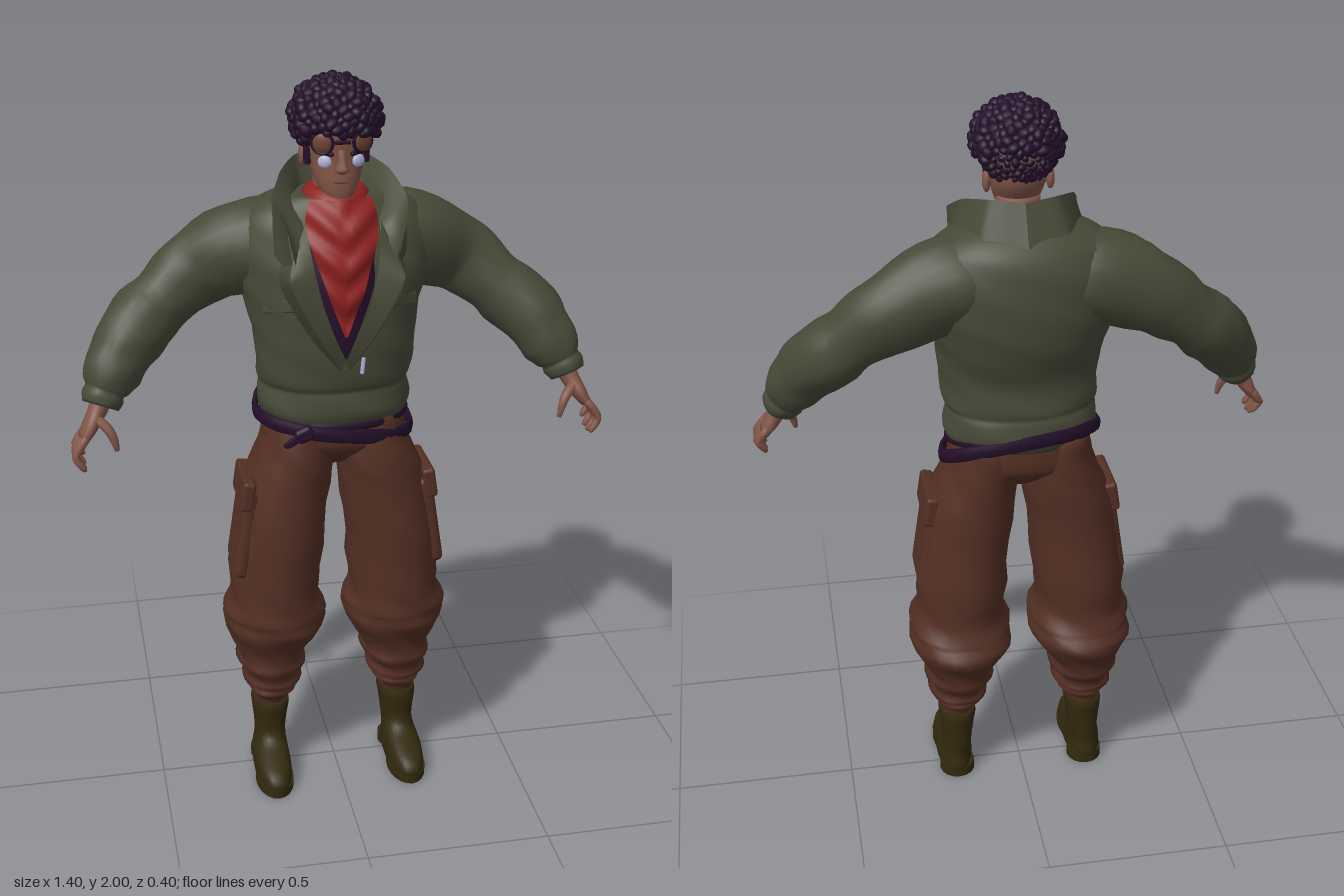
import * as THREE from 'three';
import { mergeVertices, mergeGeometries } from 'three/addons/utils/BufferGeometryUtils.js';
import { RoundedBoxGeometry } from 'three/addons/geometries/RoundedBoxGeometry.js';

const mat = (name, color) => new THREE.MeshStandardMaterial({ name, color, side: THREE.DoubleSide });
const M = {
  jacket: mat('olive cloth', 0x474937), pants: mat('brown cloth', 0x532f23), boots: mat('dark leather', 0x33290f),
  skin: mat('skin', 0x815547), hair: mat('dark plum', 0x240f2a), scarf: mat('red cloth', 0x8e2020),
  lens: mat('tan lens', 0x6e4233), pale: mat('pale lavender', 0xb4b4d8),
};

// Grid surface from fn(u, v) -> [x, y, z]
function surf(fn, nu, nv) {
  const pos = [], idx = [];
  for (let j = 0; j <= nv; j++) for (let i = 0; i <= nu; i++) pos.push(...fn(i / nu, j / nv));
  for (let j = 0; j < nv; j++) for (let i = 0; i < nu; i++) {
    const a = j * (nu + 1) + i, b = a + 1, c = a + nu + 1, d = c + 1;
    idx.push(a, b, c, b, d, c);
  }
  let g = new THREE.BufferGeometry();
  g.setAttribute('position', new THREE.Float32BufferAttribute(pos, 3));
  g.setIndex(idx);
  g = mergeVertices(g, 1e-5);
  g.computeVertexNormals();
  return g;
}

// Closed loft through rings [x, y, z, a, b]; level rings, or square to the path when along = true
function loft(rings, { n = 24, along = false, pow = 1, wob = 0, steps = 3 } = {}) {
  const path = new THREE.CatmullRomCurve3(rings.map(r => new THREE.Vector3(r[0], r[1], r[2])), false, 'catmullrom');
  const size = new THREE.CatmullRomCurve3(rings.map(r => new THREE.Vector3(r[3], r[4], 0)), false, 'catmullrom');
  const nv = (rings.length - 1) * steps + 2;
  const bend = k => Math.sign(k) * Math.abs(k) ** pow;
  return surf((u, v) => {
    const j = Math.round(v * nv), cap = j === 0 || j === nv;
    const t = THREE.MathUtils.clamp((j - 1) / (nv - 2), 0, 1), th = u * Math.PI * 2;
    const c = path.getPoint(t), s = size.getPoint(t);
    const T = along ? path.getTangent(t) : new THREE.Vector3(0, 1, 0);
    const V = new THREE.Vector3(0, 0, 1).addScaledVector(T, -T.z).normalize();
    const U = T.clone().cross(V);
    const k = cap ? 0 : 1 + wob * Math.sin(3 * th + c.y * 45) * Math.sin(2 * th + c.x * 20 + c.y * 17);
    c.addScaledVector(U, s.x * k * bend(Math.sin(th))).addScaledVector(V, s.y * k * bend(Math.cos(th)));
    return [c.x, c.y, c.z];
  }, n, nv);
}

// Strip between two edges, mirrored with s
function ribbon(edgeA, edgeB, s, n = 12) {
  const curve = e => new THREE.CatmullRomCurve3(e.map(p => new THREE.Vector3(p[0] * s, p[1], p[2])), false, 'catmullrom', 0.3);
  const A = curve(edgeA), B = curve(edgeB);
  return surf((u, v) => A.getPoint(u).lerp(B.getPoint(u), v).toArray(), n, 3);
}

export function createModel() {
  const root = new THREE.Group();
  const add = (name, geo, m, p, r) => {
    const o = new THREE.Mesh(geo, m);
    o.name = name;
    if (p) o.position.set(...p);
    if (r) o.rotation.set(...r);
    root.add(o);
  };
  const side = (s, rings) => rings.map(([x, ...rest]) => [x * s, ...rest]);

  // Jacket body: [y, half width, front z, back z]
  const body = [[1.1, .19, .13, -.145], [1.135, .204, .143, -.16], [1.18, .2, .14, -.155], [1.198, .196, .138, -.148],
    [1.22, .205, .148, -.15], [1.29, .21, .155, -.145], [1.38, .222, .158, -.178], [1.48, .248, .155, -.192],
    [1.57, .262, .13, -.19], [1.635, .24, .11, -.172], [1.675, .19, .095, -.145], [1.7, .13, .085, -.115]];
  add('jacketBody', loft(body.map(([y, w, f, b]) => [0, y, (f + b) / 2, w, (f - b) / 2]), { n: 40, pow: .93, wob: .018 }), M.jacket);

  // Shirt and scarf panels in the neckline: rows of [half width, y, z]
  const bib = (rows, fold) => {
    const c = new THREE.CatmullRomCurve3(rows.map(r => new THREE.Vector3(...r)), false, 'catmullrom');
    return surf((u, v) => {
      const p = c.getPoint(v), k = u * 2 - 1, x = p.x * k;
      return [x, p.y, p.z - 4 * x * x + fold * Math.sin((p.y - Math.abs(x) * .8) * 75)];
    }, 14, 36);
  };
  add('shirt', bib([[.005, 1.3, .163], [.045, 1.4, .168], [.08, 1.5, .167], [.095, 1.6, .145]], 0), M.hair);
  add('scarfPoint', bib([[.004, 1.365, .171], [.036, 1.45, .177], [.066, 1.54, .175], [.088, 1.61, .158], [.09, 1.66, .138], [.08, 1.7, .11]], .005), M.scarf);
  add('scarfLoop', loft([[0, 1.6, .01, .09, .115], [0, 1.64, .015, .095, .112], [0, 1.67, .018, .088, .1], [0, 1.7, .018, .085, .092], [0, 1.72, .015, .066, .072]]), M.scarf);

  const collarTop = [[0, 1.77, -.1], [.085, 1.775, -.075], [.14, 1.75, .01], [.167, 1.7, .1], [.15, 1.66, .18]];
  const lapelEdge = [[.13, 1.57, .15], [.145, 1.52, .195], [.11, 1.44, .197], [.06, 1.35, .186], [.01, 1.27, .16]];
  for (const s of [1, -1]) {
    const tag = s > 0 ? 'left' : 'right';
    // Standing collar, its inner face, and the turned lapel
    add(tag + 'Collar', ribbon([[0, 1.67, -.15], [.12, 1.655, -.12], [.185, 1.62, .01], [.165, 1.56, .11], [.13, 1.53, .16]], collarTop, s, 18), M.jacket);
    add(tag + 'CollarFold', ribbon(collarTop, [[0, 1.69, -.07], [.075, 1.69, -.05], [.1, 1.67, .05], [.095, 1.62, .13], [.12, 1.53, .165]], s, 18), M.jacket);
    add(tag + 'Lapel', ribbon([[.095, 1.65, .13], [.082, 1.55, .175], [.062, 1.46, .19], [.035, 1.38, .188], [0, 1.3, .17]], lapelEdge, s), M.jacket);
    add(tag + 'LapelSide', ribbon(lapelEdge, [[.15, 1.57, .09], [.165, 1.51, .1], [.14, 1.43, .115], [.085, 1.34, .13], [.02, 1.26, .14]], s), M.jacket);
    add(tag + 'ChestPocketFlap', new RoundedBoxGeometry(.1, .035, .014, 2, .006), M.jacket, [s * .158, 1.435, .11], [-.1, s * .66, s * -.12]);

    // Sleeve with gathered cuff
    add(tag + 'Sleeve', loft(side(s, [[.08, 1.55, -.035, .115, .11], [.16, 1.555, -.045, .122, .124], [.25, 1.533, -.06, .12, .108],
      [.33, 1.496, -.072, .105, .088], [.38, 1.463, -.066, .097, .08], [.44, 1.418, -.048, .084, .083], [.48, 1.385, -.032, .091, .089],
      [.53, 1.335, 0, .088, .085], [.56, 1.295, .022, .079, .077], [.585, 1.26, .042, .076, .072], [.6, 1.23, .056, .062, .06],
      [.605, 1.22, .06, .052, .053], [.612, 1.205, .066, .055, .055], [.62, 1.185, .074, .048, .048]]),
      { along: true, wob: .05 }), M.jacket);

    // Hand: palm, four fingers and thumb
    const digits = [loft(side(s, [[.615, 1.2, .067, .028, .032], [.63, 1.17, .08, .024, .032], [.648, 1.14, .09, .021, .044], [.667, 1.11, .096, .015, .044]]), { along: true, n: 14 })];
    for (let i = 0; i < 4; i++) {
      const z = .06 + i * .026, d = [.02, .004, 0, .006][i];
      digits.push(loft(side(s, [[.66, 1.125, z, .011, .012], [.684, 1.093, z + .006, .011, .012],
        [.69, 1.068 + d, z + .009, .01, .011], [.676, 1.045 + d, z + .012, .009, .01], [.668, 1.034 + d, z + .013, .005, .005]]), { along: true, n: 8, steps: 2 }));
    }
    digits.push(loft(side(s, [[.635, 1.165, .1, .014, .016], [.606, 1.142, .125, .013, .014], [.592, 1.115, .135, .011, .011], [.585, 1.085, .138, .006, .006]]), { along: true, n: 8 }));
    add(tag + 'Hand', mergeGeometries(digits), M.skin);

    // Baggy trouser leg with gathered ankle tucked into the boot
    add(tag + 'TrouserLeg', loft(side(s, [[.186, .2, -.012, .044, .064], [.185, .235, -.01, .05, .07], [.183, .25, -.01, .058, .08], [.18, .263, -.012, .07, .092], [.178, .278, -.012, .062, .088],
      [.18, .29, -.015, .084, .11], [.18, .315, -.015, .07, .105], [.178, .35, -.018, .098, .128], [.178, .375, -.02, .09, .127], [.175, .42, -.022, .115, .14],
      [.17, .475, -.022, .142, .173], [.168, .505, -.015, .137, .163], [.17, .525, -.01, .142, .16], [.168, .565, -.004, .12, .15], [.165, .65, -.003, .126, .152],
      [.152, .78, 0, .122, .145], [.132, .9, 0, .12, .14], [.112, .98, -.003, .108, .14], [.098, 1.05, -.008, .094, .135], [.09, 1.12, -.01, .085, .125]]),
      { pow: .93, wob: .035, steps: 2 }), M.pants);
    // Cargo pocket and flap
    add(tag + 'CargoPocket', new RoundedBoxGeometry(.04, .26, .17, 2, .018), M.pants, [s * .253, .785, .015], [0, 0, s * .15]);
    add(tag + 'CargoFlap', new RoundedBoxGeometry(.035, .085, .175, 2, .01), M.pants, [s * .247, .9, .015], [0, 0, s * .15]);

    // Boot: rounded foot and shaft, with heel and sole
    add(tag + 'Boot', loft(side(s, [[.192, .012, .055, .05, .138], [.192, .035, .055, .052, .142], [.192, .06, .048, .05, .13], [.19, .08, .025, .046, .105],
      [.188, .1, -.002, .043, .08], [.187, .13, -.012, .044, .07], [.186, .18, -.012, .05, .073], [.185, .205, -.012, .053, .076], [.185, .225, -.012, .05, .072]]), { pow: .85 }), M.boots);
    add(tag + 'Heel', new THREE.CylinderGeometry(.05, .05, .03, 16), M.boots, [s * .19, .015, -.035]);
    add(tag + 'ForeSole', new THREE.CylinderGeometry(.053, .053, .022, 20).scale(1, 1, 1.75), M.boots, [s * .192, .011, .105]);

    // Ear, eye, brow and goggle
    add(tag + 'Ear', new THREE.SphereGeometry(.024, 12, 8).scale(.45, 1.2, .8), M.skin, [s * .08, 1.795, .005]);
    add(tag + 'Eye', new THREE.SphereGeometry(.016, 14, 10).scale(1.1, 1, .5), M.pale, [s * .042, 1.797, .104], [0, s * .4, 0]);
    add(tag + 'Brow', new RoundedBoxGeometry(.045, .011, .012, 1, .004), M.hair, [s * .042, 1.82, .108], [0, s * .35, s * .2]);
    add(tag + 'GoggleLens', new THREE.SphereGeometry(.026, 16, 10).scale(1, 1, .4), M.lens, [s * .05, 1.847, .116], [0, s * .4, 0]);
    add(tag + 'GoggleRim', new THREE.TorusGeometry(.026, .005, 6, 18), M.hair, [s * .05, 1.847, .116], [0, s * .4, 0]);
    add(tag + 'Sideburn', new RoundedBoxGeometry(.016, .075, .035, 1, .005), M.hair, [s * .074, 1.815, .035]);
  }

  // Trouser seat
  add('trouserSeat', loft([[0, .96, -.005, .04, .05], [0, .985, -.005, .11, .085], [0, 1.03, -.008, .19, .132], [0, 1.08, -.01, .19, .136], [0, 1.13, -.01, .18, .13]], { pow: .9, n: 32 }), M.pants);
  // Belt and slanting sash, both climbing under the jacket at the back
  const band = (y, h, tilt, rise, rx, rz) => surf((u, v) => {
    const t = u * Math.PI * 2, w = v * Math.PI * 2, k = 1 + .04 * Math.cos(w);
    const x = Math.sin(t);
    return [rx * k * Math.sign(x) * Math.abs(x) ** .9, y - tilt * x + rise * Math.max(0, -Math.cos(t)) + h * Math.sin(w), -.01 + rz * k * Math.cos(t)];
  }, 40, 8);
  add('belt', band(1.1, .013, 0, .035, .194, .142), M.hair);
  add('sash', band(1.076, .021, .032, .062, .21, .146), M.hair);
  add('sashKnot', new RoundedBoxGeometry(.05, .04, .03, 2, .012), M.hair, [-.1, 1.085, .125], [0, -.2, .5]);
  add('sashTail', new RoundedBoxGeometry(.07, .022, .014, 2, .006), M.hair, [-.125, 1.065, .118], [0, -.4, .7]);
  add('zipPull', new RoundedBoxGeometry(.01, .045, .009, 1, .003), M.pale, [.045, 1.28, .163], [0, 0, -.1]);

  // Neck, head and face
  add('neck', loft([[0, 1.6, 0, .065, .065], [0, 1.68, .01, .056, .058], [0, 1.76, .012, .056, .06]]), M.skin);
  add('head', loft([[0, 1.694, .08, .022, .022], [0, 1.71, .068, .04, .04], [0, 1.745, .042, .058, .068], [0, 1.79, .022, .07, .084],
    [0, 1.83, .02, .075, .09], [0, 1.88, .02, .08, .092], [0, 1.93, .018, .072, .08], [0, 1.96, .018, .045, .05]], { pow: .92 }), M.skin);
  add('nose', loft([[0, 1.768, .112, .011, .012], [0, 1.778, .117, .018, .022], [0, 1.795, .112, .012, .021], [0, 1.825, .105, .009, .014]], { n: 10 }), M.skin);
  add('mouth', new RoundedBoxGeometry(.04, .006, .008, 1, .002), M.lens, [0, 1.745, .108]);
  add('goggleBridge', new RoundedBoxGeometry(.04, .01, .01, 1, .003), M.hair, [0, 1.847, .12]);

  // Curly hair: under-cap, scalp showing between thinner curls at the back, and spiralled curls
  add('hairCap', new THREE.SphereGeometry(1, 24, 14, 0, Math.PI * 2, 0, Math.PI * .57).scale(.096, .09, .118), M.hair, [0, 1.892, .018], [-.3, 0, 0]);
  add('backScalp', new THREE.SphereGeometry(1, 16, 8, Math.PI * 1.27, Math.PI * .46, Math.PI * .47, Math.PI * .24).scale(.1, .092, .127), M.skin, [0, 1.89, .022]);
  const curls = [], N = 300;
  for (let i = 0; i < N; i++) {
    const h = 1 - 2 * (i + .5) / N, r = Math.sqrt(1 - h * h), a = i * 2.39996;
    const wave = Math.sin(i * 12.9), x = (.1 + .006 * wave) * r * Math.sin(a), z = .024 + (.127 + .006 * wave) * r * Math.cos(a), y = 1.89 + .092 * h;
    const low = z > .07 ? 1.87 : z > .02 ? 1.845 : z > -.03 ? 1.82 : 1.79;
    if (y < low) continue;
    const thin = z < -.05 && Math.abs(x) < .075 && y < 1.895 && y > 1.825 ? .72 : 1;
    curls.push(new THREE.IcosahedronGeometry((.013 + .007 * Math.abs(wave)) * thin, 1).scale(1, .8, 1).rotateZ(i).translate(x, y, z));
  }
  add('curls', mergeGeometries(curls), M.hair);

  return root;
}
